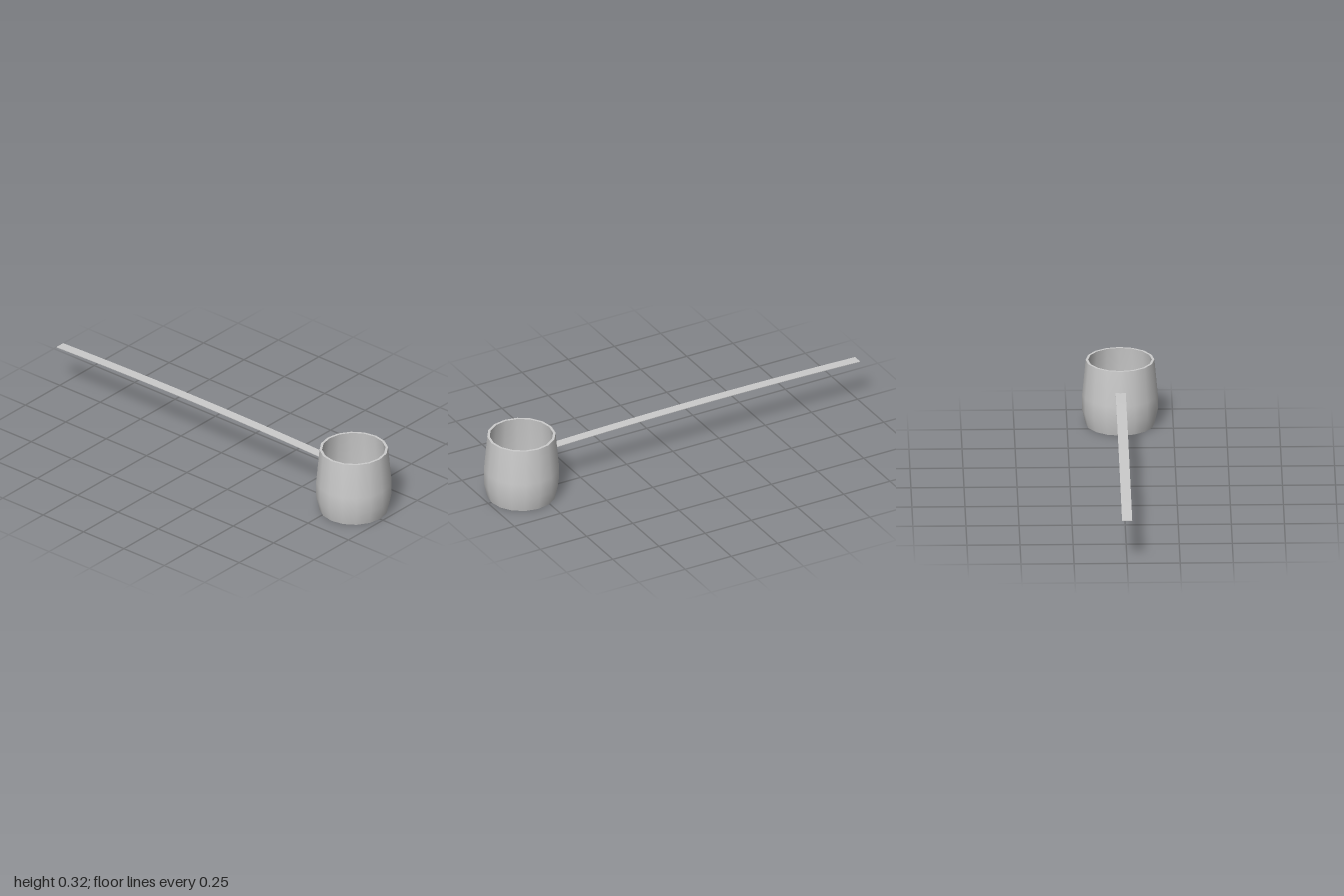
import * as THREE from 'three';

const SIDES = 16;
const CUP_X = 0.82;

export function createModel() {
  const model = new THREE.Group();
  const material = new THREE.MeshStandardMaterial({ color: 0xcccccc });
  const add = (parent, name, geometry) => {
    const mesh = new THREE.Mesh(geometry, material);
    mesh.name = name;
    parent.add(mesh);
    return mesh;
  };
  // Each lathe is separate so that the rim and base keep sharp edges
  const lathe = (points) =>
    new THREE.LatheGeometry(points.map(([r, y]) => new THREE.Vector2(r, y)), SIDES);

  // Cup: a hollow barrel with a flat base and a thin rim
  const cup = new THREE.Group();
  cup.name = 'cup';
  cup.position.x = CUP_X;
  model.add(cup);
  add(cup, 'outerWall', lathe([[0.162, 0], [0.178, 0.07], [0.178, 0.15], [0.162, 0.322]]));
  add(cup, 'rim', lathe([[0.162, 0.322], [0.15, 0.322]]));
  add(cup, 'innerWall', lathe([[0.15, 0.322], [0.166, 0.15], [0.166, 0.07], [0.152, 0.012]]));
  add(cup, 'innerFloor', lathe([[0.152, 0.012], [0, 0.012]]));
  add(cup, 'base', lathe([[0, 0], [0.162, 0]]));

  // Handle: a long thin strip, bowed slightly upwards, ending in the cup wall
  const length = 1.655;
  const strip = new THREE.BoxGeometry(length, 0.003, 0.048, 12, 1, 1);
  strip.translate(-1 + length / 2, 0, 0);
  const pos = strip.attributes.position;
  for (let i = 0; i < pos.count; i++) {
    const t = (pos.getX(i) + 0.17) / 0.83;
    pos.setY(i, pos.getY(i) + 0.228 - 0.012 * t * t);
  }
  strip.computeVertexNormals();
  add(model, 'handle', strip);

  return model;
}
